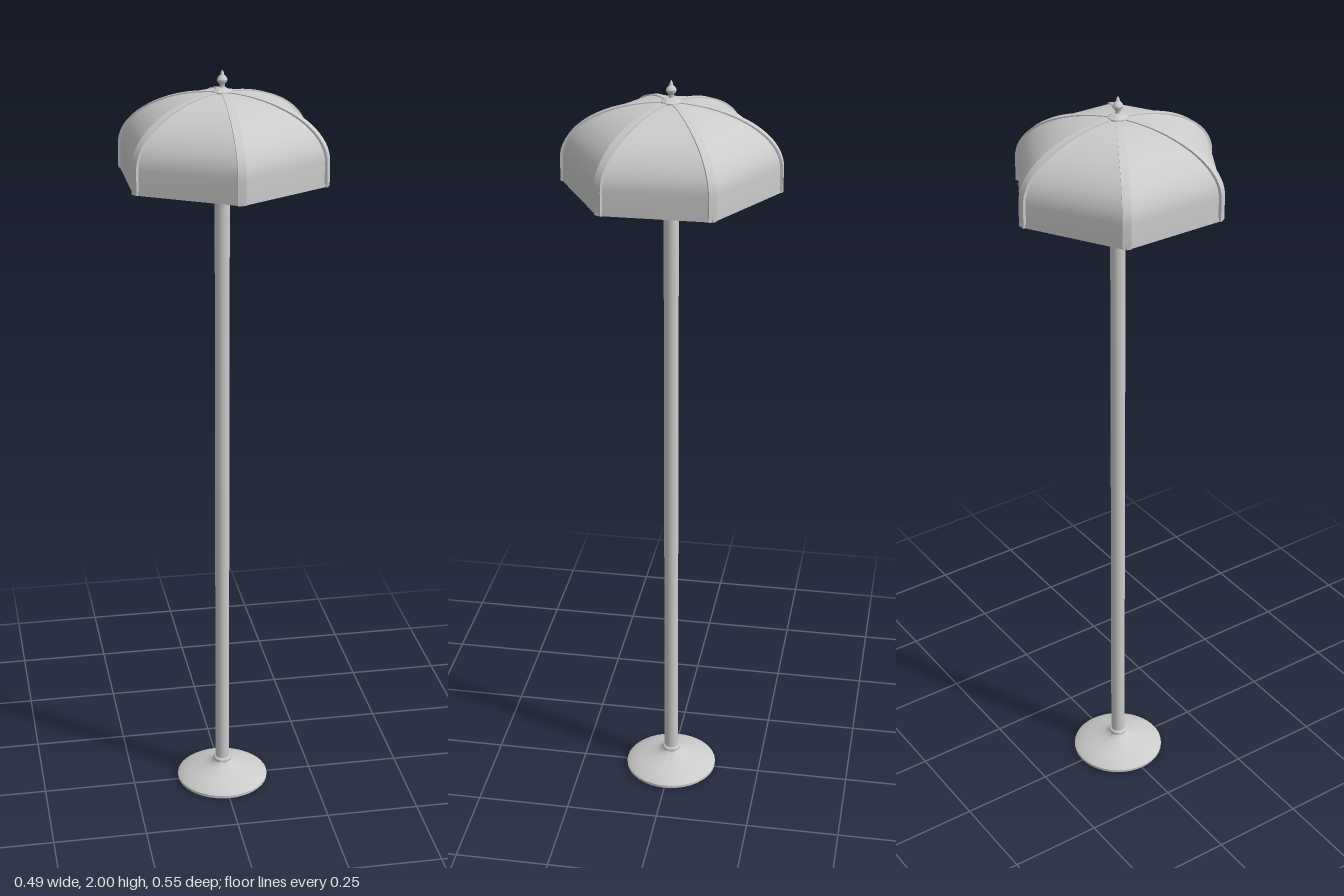
import * as THREE from 'three';
import { toCreasedNormals } from 'three/addons/utils/BufferGeometryUtils.js';

const material = new THREE.MeshStandardMaterial({ color: 0xcccccc });
const thin = new THREE.MeshStandardMaterial({ color: 0xcccccc, side: THREE.DoubleSide });
const flat = new THREE.MeshStandardMaterial({ color: 0xcccccc, side: THREE.DoubleSide, flatShading: true });

const RIM = 1.735, SPRING = 1.795, APOTHEM = 0.237;

function add(parent, name, geometry, mat = material) {
  const mesh = new THREE.Mesh(geometry, mat);
  mesh.name = name;
  parent.add(mesh);
  return mesh;
}

function lathe(points, segments = 32) {
  const g = new THREE.LatheGeometry(points.map(([r, y]) => new THREE.Vector2(r, y)), segments);
  return toCreasedNormals(g, 0.6);
}

// Dome outline: short vertical skirt, then a quarter ellipse
function domeProfile(rx, ry, steps = 20) {
  const points = [[rx, RIM]];
  for (let i = 0; i <= steps; i++) {
    const t = (i / steps) * Math.PI * 0.49;
    points.push([rx * Math.cos(t), SPRING + ry * Math.sin(t)]);
  }
  return points;
}

// Skin a list of equal-length cross-section rows, each running from +z to -z
function skin(rows) {
  const n = rows[0].length, index = [];
  for (let j = 0; j < rows.length - 1; j++) {
    for (let i = 0; i < n - 1; i++) {
      const a = j * n + i, b = a + 1;
      index.push(a, b, b + n, a, b + n, a + n);
    }
  }
  const g = new THREE.BufferGeometry();
  g.setAttribute('position', new THREE.Float32BufferAttribute(rows.flat(2), 3));
  g.setIndex(index);
  return toCreasedNormals(g, 0.6);
}

export function createModel() {
  const lamp = new THREE.Group();
  lamp.name = 'floorLamp';

  // Hollow dished foot with a collar
  add(lamp, 'base', lathe([
    [0.118, 0.004], [0.122, 0], [0.125, 0.003], [0.125, 0.01], [0.115, 0.017], [0.09, 0.027],
    [0.06, 0.037], [0.038, 0.045], [0.027, 0.052], [0.024, 0.056],
  ], 40), thin);
  add(lamp, 'collar', lathe([
    [0, 0.05], [0.022, 0.05], [0.025, 0.054], [0.025, 0.062], [0.022, 0.066], [0.018, 0.066],
  ]));

  const pole = add(lamp, 'pole', new THREE.CylinderGeometry(0.019, 0.019, 1.885, 24));
  pole.position.y = 0.055 + 1.885 / 2;

  // Six-sided domed shade: curved panels with a rib over every corner
  const shade = new THREE.Group();
  shade.name = 'shade';
  lamp.add(shade);
  const panel = skin(domeProfile(APOTHEM, 0.15).map(([x, y]) => {
    const h = x * Math.tan(Math.PI / 6);
    return [[x, y, h], [x, y, -h]];
  }));
  const inner = domeProfile(0.268, 0.146);
  const rib = skin(domeProfile(0.275, 0.152).map(([x, y], i) => {
    const w = Math.min(0.01, 0.005 + x * 0.03);
    const [xi, yi] = inner[i];
    return [[xi, yi, w], [x, y, w], [x, y, -w], [xi, yi, -w]];
  }));
  for (let i = 0; i < 6; i++) {
    add(shade, 'shadePanel', panel, thin).rotation.y = i * Math.PI / 3;
    add(shade, 'shadeRib', rib, thin).rotation.y = (i + 0.5) * Math.PI / 3;
  }
  const trimRadius = (APOTHEM + 0.002) / Math.cos(Math.PI / 6);
  const trim = add(shade, 'rimTrim', new THREE.CylinderGeometry(trimRadius, trimRadius, 0.01, 6, 1, true), flat);
  trim.position.y = RIM + 0.005;

  // Cap and finial on the crown
  add(lamp, 'crownCap', lathe([[0.025, 1.94], [0.025, 1.948], [0.016, 1.953], [0.008, 1.957], [0, 1.957]], 12));
  add(lamp, 'finial', lathe([
    [0.008, 1.953], [0.006, 1.96], [0.007, 1.965], [0.012, 1.971], [0.013, 1.976],
    [0.01, 1.982], [0.005, 1.987], [0.004, 1.993], [0, 2],
  ], 16));

  // Three bulbs on short sockets around the pole
  for (let i = 0; i < 3; i++) {
    const light = new THREE.Group();
    light.name = 'light';
    light.position.y = 1.79;
    light.rotation.y = -Math.PI / 6 - i * Math.PI * 2 / 3;
    const socket = add(light, 'socket', new THREE.CylinderGeometry(0.012, 0.012, 0.05, 16));
    socket.rotation.z = Math.PI / 2;
    socket.position.x = 0.04;
    add(light, 'bulb', new THREE.SphereGeometry(0.021, 20, 14)).position.x = 0.078;
    lamp.add(light);
  }
  return lamp;
}
